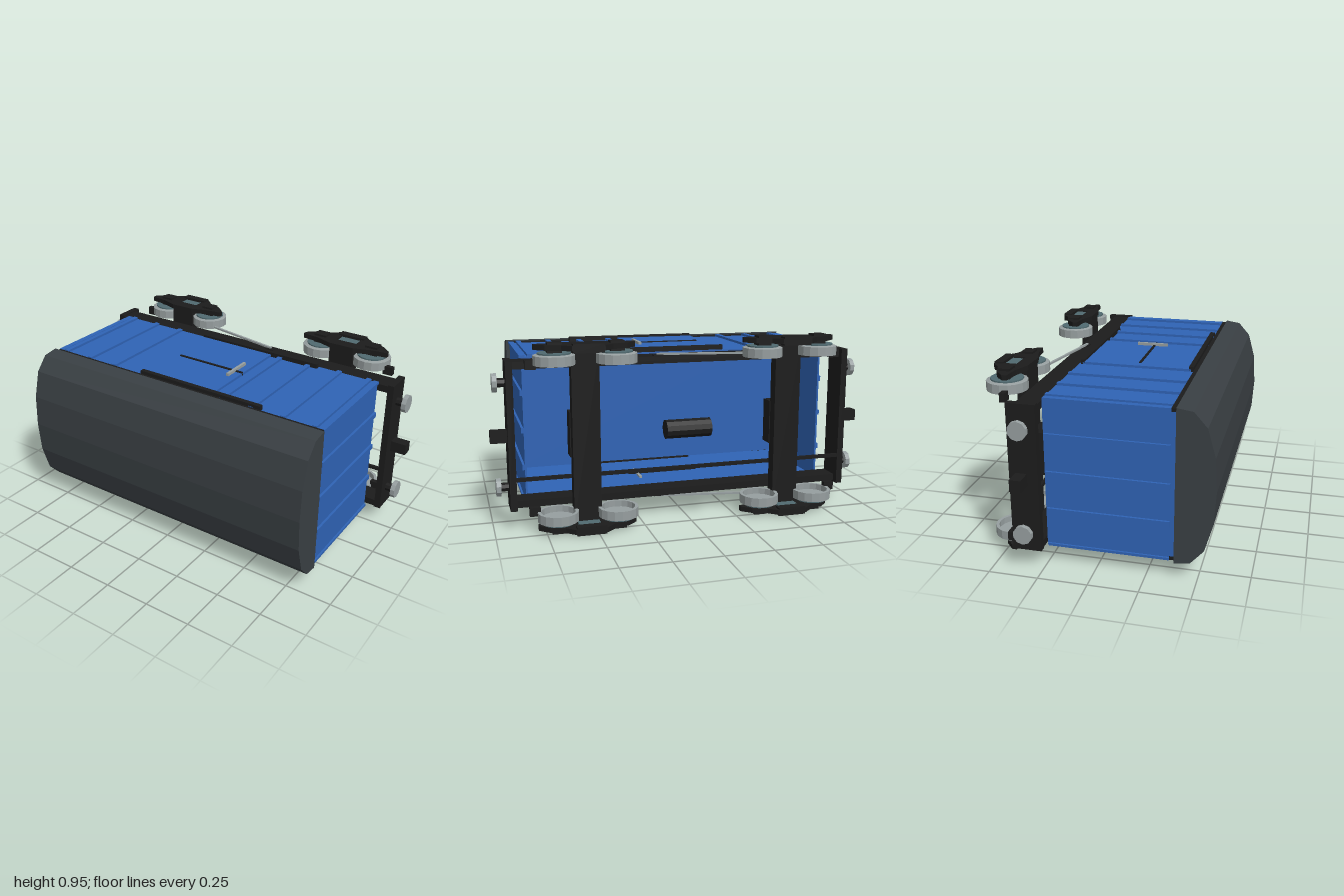
import * as THREE from 'three';

const mat = (color, side = THREE.FrontSide) =>
  new THREE.MeshStandardMaterial({ color, side, flatShading: true });

export function createModel() {
  const blue = mat(0x2f63b5, THREE.DoubleSide), slate = mat(0x393f43), black = mat(0x1c1c1c);
  const steel = mat(0x969e9f, THREE.DoubleSide), teal = mat(0x506a70);

  // Wagon is built upright (x along, y up, z across), then laid on its side
  const wagon = new THREE.Group();
  wagon.name = 'wagon';
  const add = (name, geo, material, parent = wagon) => {
    const m = new THREE.Mesh(geo, material);
    m.name = name;
    parent.add(m);
    return m;
  };
  // Box given by its limits on each axis
  const box = (name, material, x0, x1, y0, y1, z0, z1, parent) => {
    const m = add(name, new THREE.BoxGeometry(x1 - x0, y1 - y0, Math.abs(z1 - z0)), material, parent);
    m.position.set((x0 + x1) / 2, (y0 + y1) / 2, (z0 + z1) / 2);
    return m;
  };

  // Body: thin walls and ceiling, open below
  for (const s of [-1, 1]) {
    box('sideWall', blue, -0.825, 0.825, -0.255, 0.385, s * 0.37, s * 0.38);
    box('endWall', blue, s * 0.82 - 0.005, s * 0.82 + 0.005, -0.255, 0.385, -0.38, 0.38);
    for (const z of [-0.195, 0, 0.195])
      box('endRib', blue, s * 0.83 - 0.007, s * 0.83 + 0.007, -0.25, 0.36, z - 0.014, z + 0.014);
    for (const x of [-0.78, -0.61, -0.437, 0.26, 0.433, 0.61, 0.78])
      box('sideRib', blue, x - 0.013, x + 0.013, -0.25, 0.36, s * 0.378, s * 0.393);
    for (const x of [-0.82, 0.82])
      box('cornerPost', blue, x - 0.015, x + 0.015, -0.25, 0.36, s * 0.375, s * 0.388);
    // Sliding door with rails, bar and handle
    box('door', blue, -0.25, 0.2, -0.235, 0.345, s * 0.378, s * 0.393);
    box('doorRail', black, -0.25, 0.485, 0.335, 0.36, s * 0.365, s * 0.405);
    box('doorRail', black, -0.25, 0.485, -0.245, -0.225, s * 0.365, s * 0.405);
    box('doorBar', black, -0.205, 0.2, 0.06, 0.073, s * 0.365, s * 0.398);
    box('doorHandle', steel, 0.145, 0.16, -0.03, 0.14, s * 0.36, s * 0.408);
    box('eaveStrip', black, -0.83, 0.83, 0.36, 0.387, s * 0.37, s * 0.387);
  }
  box('ceiling', blue, -0.82, 0.82, 0.365, 0.38, -0.375, 0.375);

  // Faceted roof
  const half = [[0.395, 0.385], [0.383, 0.465], [0.31, 0.53], [0.168, 0.57]];
  const profile = [...half, [0, 0.58], ...half.slice().reverse().map(([z, y]) => [-z, y])];
  const roofShape = new THREE.Shape(profile.map(([z, y]) => new THREE.Vector2(z, y)));
  const roof = new THREE.ExtrudeGeometry(roofShape, { depth: 1.69, bevelEnabled: false });
  roof.translate(0, 0, -0.845).rotateY(Math.PI / 2);
  add('roof', roof, slate);

  // Underframe
  for (const s of [-1, 1]) {
    box('sideSill', black, -0.915, 0.915, -0.365, -0.255, s * 0.335, s * 0.372);
    box('endBeam', black, s * 0.899 - 0.017, s * 0.899 + 0.017, -0.4, -0.255, -0.378, 0.378);
    box('coupler', black, s * 0.955 - 0.045, s * 0.955 + 0.045, -0.367, -0.31, -0.03, 0.03);
    for (const z of [-0.267, 0.267]) {
      const stem = add('bufferStem', new THREE.CylinderGeometry(0.023, 0.023, 0.06, 8), black);
      stem.rotation.z = Math.PI / 2;
      stem.position.set(s * 0.935, -0.325, z);
      const head = add('bufferHead', new THREE.CylinderGeometry(0.048, 0.048, 0.024, 10), steel);
      head.rotation.z = Math.PI / 2;
      head.position.set(s * 0.967, -0.325, z);
    }
    const lever = add('brakeLever', new THREE.BoxGeometry(0.45, 0.013, 0.01), steel);
    lever.position.set(-0.08, -0.37, s * 0.38);
    lever.rotation.z = Math.atan2(-0.08, -0.44) + Math.PI;
    lever.rotation.z = -lever.rotation.z;
    // Levers rise towards the bogie at one end and hang from the sill at the other
    lever.rotation.z = Math.atan2(0.08, 0.44);
    box('leverMount', black, 0.11, 0.16, -0.355, -0.315, s * 0.37, s * 0.377);
  }
  box('brakePipe', black, -0.9, 0.9, -0.4, -0.383, 0.208, 0.226);
  const tank = add('brakeTank', new THREE.CylinderGeometry(0.05, 0.05, 0.24, 12), black);
  tank.rotation.z = Math.PI / 2;
  tank.position.y = -0.42;

  // Bogies
  const wheelGeo = new THREE.LatheGeometry(
    [[0, 0.4], [0.086, 0.4], [0.086, 0.368], [0.1025, 0.368], [0.1025, 0.415], [0.085, 0.42], [0, 0.42]]
      .map(([r, h]) => new THREE.Vector2(r, h)), 16);
  const frameHalf = [[0.08, -0.575], [0.125, -0.535], [0.2, -0.51], [0.25, -0.465], [0.25, -0.44],
    [0.195, -0.435], [0.16, -0.43], [0.07, -0.4]];
  const sideShape = new THREE.Shape(
    [...frameHalf, ...frameHalf.slice().reverse().map(([x, y]) => [-x, y])]
      .map(([x, y]) => new THREE.Vector2(x, y)));
  const win = [[-0.06, -0.53], [-0.06, -0.465], [0.06, -0.465], [0.06, -0.53]];
  sideShape.holes.push(new THREE.Path(win.map(([x, y]) => new THREE.Vector2(x, y))));
  const sideGeo = new THREE.ExtrudeGeometry(sideShape, { depth: 0.026, bevelEnabled: false });
  sideGeo.translate(0, 0, -0.013);

  for (const e of [-1, 1]) {
    const bogie = new THREE.Group();
    bogie.name = 'bogie';
    bogie.position.x = e * 0.537;
    wagon.add(bogie);
    box('crossbeam', black, -0.07, 0.07, -0.465, -0.405, -0.44, 0.44, bogie);
    box('pivotBlock', black, -0.075, 0.075, -0.41, -0.33, -0.115, 0.115, bogie);
    for (const s of [-1, 1]) {
      add('sideFrame', sideGeo, black, bogie).position.z = s * 0.453;
      box('spring', teal, -0.055, 0.055, -0.53, -0.465, s * 0.435, s * 0.46, bogie);
      box('springPlank', black, -0.075, 0.075, -0.575, -0.53, s * 0.43, s * 0.474, bogie);
      box('stepBlock', black, e * 0.265 - 0.027, e * 0.265 + 0.027, -0.465, -0.437, s * 0.345, s * 0.39, bogie);
      for (const x of [-0.153, 0.153]) {
        const wheel = add('wheel', wheelGeo, steel, bogie);
        wheel.rotation.x = s * Math.PI / 2;
        wheel.position.set(x, -0.478, 0);
        const hub = add('wheelCentre', new THREE.CylinderGeometry(0.082, 0.082, 0.012, 16), teal, bogie);
        hub.rotation.x = Math.PI / 2;
        hub.position.set(x, -0.478, s * 0.421);
        box('axleBox', black, x - 0.035, x + 0.035, -0.51, -0.45, s * 0.427, s * 0.477, bogie);
      }
    }
  }

  wagon.rotation.x = Math.PI / 2;
  wagon.position.y = 0.477;
  const model = new THREE.Group();
  model.name = 'coveredWagon';
  model.add(wagon);
  return model;
}
